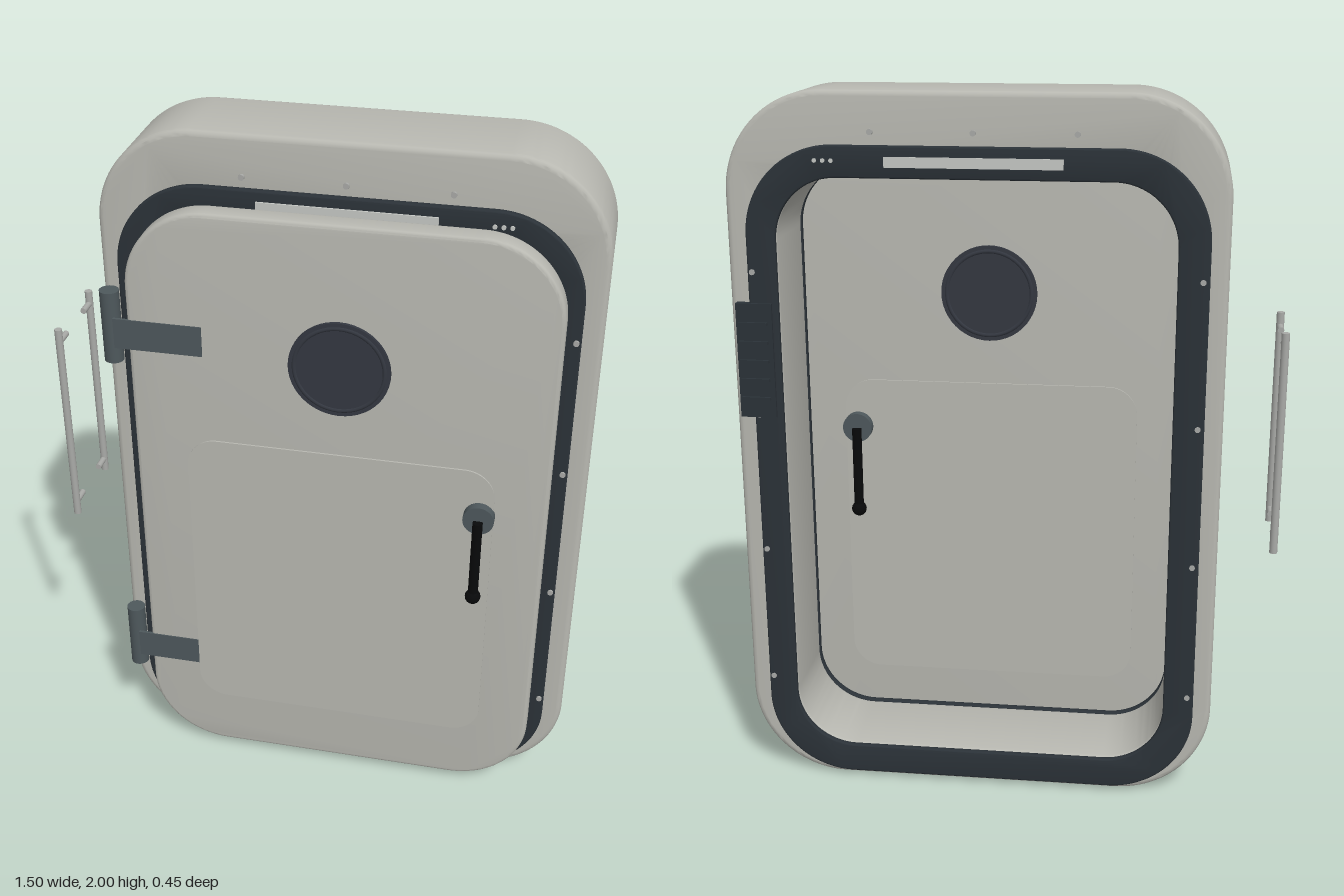
import * as THREE from 'three';
import { toCreasedNormals } from 'three/addons/utils/BufferGeometryUtils.js';

const mat = (name, color) => {
  const m = new THREE.MeshStandardMaterial({ color });
  m.name = name;
  return m;
};

// Rounded rectangle outline from its edges
function roundRect(x0, x1, y0, y1, r, Type = THREE.Shape) {
  const s = new Type();
  s.moveTo(x0 + r, y0);
  s.lineTo(x1 - r, y0);
  s.absarc(x1 - r, y0 + r, r, -Math.PI / 2, 0, false);
  s.lineTo(x1, y1 - r);
  s.absarc(x1 - r, y1 - r, r, 0, Math.PI / 2, false);
  s.lineTo(x0 + r, y1);
  s.absarc(x0 + r, y1 - r, r, Math.PI / 2, Math.PI, false);
  s.lineTo(x0, y0 + r);
  s.absarc(x0 + r, y0 + r, r, Math.PI, Math.PI * 1.5, false);
  return s;
}

// Extrude a shape between two z planes, keeping its outline size
function slab(shape, z0, z1, bevel = 0) {
  const g = new THREE.ExtrudeGeometry(shape, {
    depth: z1 - z0 - 2 * bevel, curveSegments: 14, bevelEnabled: bevel > 0,
    bevelSize: bevel, bevelThickness: bevel, bevelOffset: -bevel, bevelSegments: 3,
  });
  g.translate(0, 0, z0 + bevel);
  return toCreasedNormals(g, 0.6);
}

export function createModel() {
  const root = new THREE.Group();
  const paint = mat('grey paint', 0xb8b8b1);
  const seal = mat('dark seal', 0x2b3238);
  const glass = mat('dark glass', 0x343841);
  const iron = mat('hinge iron', 0x4e585c);
  const black = mat('black lever', 0x08090a);
  const steel = mat('steel', 0xa9aaa7);
  const lamp = mat('lamp white', 0xc6c8c4);

  const add = (name, geo, material, x = 0, y = 0, z = 0, parent = root) => {
    const m = new THREE.Mesh(geo, material);
    m.name = name;
    m.position.set(x, y, z);
    parent.add(m);
    return m;
  };
  // Cylinder lying along z
  const disc = (r, d, n = 32) => new THREE.CylinderGeometry(r, r, d, n).rotateX(Math.PI / 2);
  const CX = 0.08;

  // Deep frame with the doorway cut through
  const opening = () => roundRect(-0.455, 0.615, 0.105, 1.775, 0.17, THREE.Path);
  const frame = roundRect(-0.59, 0.75, 0.005, 2, 0.27);
  frame.holes.push(opening());
  add('frame', slab(frame, -0.193, 0.077, 0.015), paint);

  // Seal rings on the front and back of the frame
  const ring = roundRect(-0.54, 0.695, 0.02, 1.86, 0.24);
  ring.holes.push(opening());
  add('frontSeal', slab(ring, 0.075, 0.095, 0.004), seal);
  add('backSeal', slab(ring, -0.208, -0.19, 0.004), seal);

  // Door leaf with a shallow panel on both faces
  add('door', slab(roundRect(-0.5, 0.655, 0.033, 1.815, 0.225), 0.098, 0.165, 0.01), paint);
  const panel = roundRect(-0.35, 0.51, 0.22, 1.145, 0.085);
  add('frontPanel', slab(panel, 0.164, 0.17), paint);
  add('backPanel', slab(panel, 0.093, 0.099), paint);

  // Porthole, seen from both sides
  for (const [z, s, side] of [[0.167, 1, 'front'], [0.096, -1, 'back']]) {
    add(side + 'Porthole', disc(0.138, 0.014, 48), glass, CX, 1.412, z);
    add(side + 'PortholeRim', new THREE.TorusGeometry(0.122, 0.007, 8, 48), glass,
      CX, 1.412, z + s * 0.003);
  }

  // Lever handles, front and back
  for (const [z, s, side] of [[0.165, 1, 'front'], [0.098, -1, 'back']]) {
    const h = new THREE.Group();
    h.name = side + 'Handle';
    h.position.set(0.472, 1.003, z);
    root.add(h);
    add('handleHub', disc(0.043, 0.034), iron, 0, 0, s * 0.014, h);
    add('lever', new THREE.CylinderGeometry(0.014, 0.014, 0.25, 16), black, 0, -0.125, s * 0.038, h);
    add('leverKnob', new THREE.SphereGeometry(0.022, 20, 14), black, 0, -0.25, s * 0.038, h);
  }

  // Hinges: knuckle and strap
  for (const y of [1.45, 0.378]) {
    add('hingeKnuckle', new THREE.CylinderGeometry(0.027, 0.027, 0.21, 24), iron, -0.56, y, 0.12);
    add('hingeStrap', new THREE.BoxGeometry(0.245, 0.088, 0.008), iron, -0.417, y, 0.164);
  }

  // Grab bars standing off the hinge side
  for (const [z, s] of [[0.064, -1], [-0.184, 1]]) {
    const bar = new THREE.Group();
    bar.name = 'grabBar';
    bar.position.set(-0.742, 1.077, z);
    root.add(bar);
    add('rail', new THREE.CylinderGeometry(0.011, 0.011, 0.62, 16), steel, 0, 0, 0, bar);
    for (const y of [-0.27, 0.27])
      add('railPost', disc(0.009, 0.054, 12), steel, 0, y, s * 0.027, bar);
  }

  // Screws, lamp strip and indicator dots on both faces
  for (const z of [0.097, -0.207]) {
    const screw = disc(0.008, 0.008, 12);
    for (const dx of [-0.27, 0, 0.27]) add('screw', screw, steel, CX + dx, 1.895, z);
    for (const y of [0.32, 0.72, 1.12, 1.52]) {
      add('screw', screw, steel, CX + 0.602, y, z);
      if (z < 0) add('screw', screw, steel, CX - 0.602, y, z);
    }
    add('lampStrip', new THREE.BoxGeometry(0.47, 0.028, 0.006), lamp, CX, 1.818, z);
    for (const x of [0.455, 0.477, 0.499])
      add('indicator', disc(0.006, 0.006, 10), lamp, x, 1.82, z);
  }

  // Control box with ridges on the back
  add('controlBox', new THREE.BoxGeometry(0.1, 0.32, 0.022), seal, 0.682, 1.275, -0.205);
  for (let i = 0; i < 5; i++)
    add('controlRidge', new THREE.BoxGeometry(0.08, 0.008, 0.01), seal, 0.685, 1.17 + i * 0.0525, -0.219);

  return root;
}
